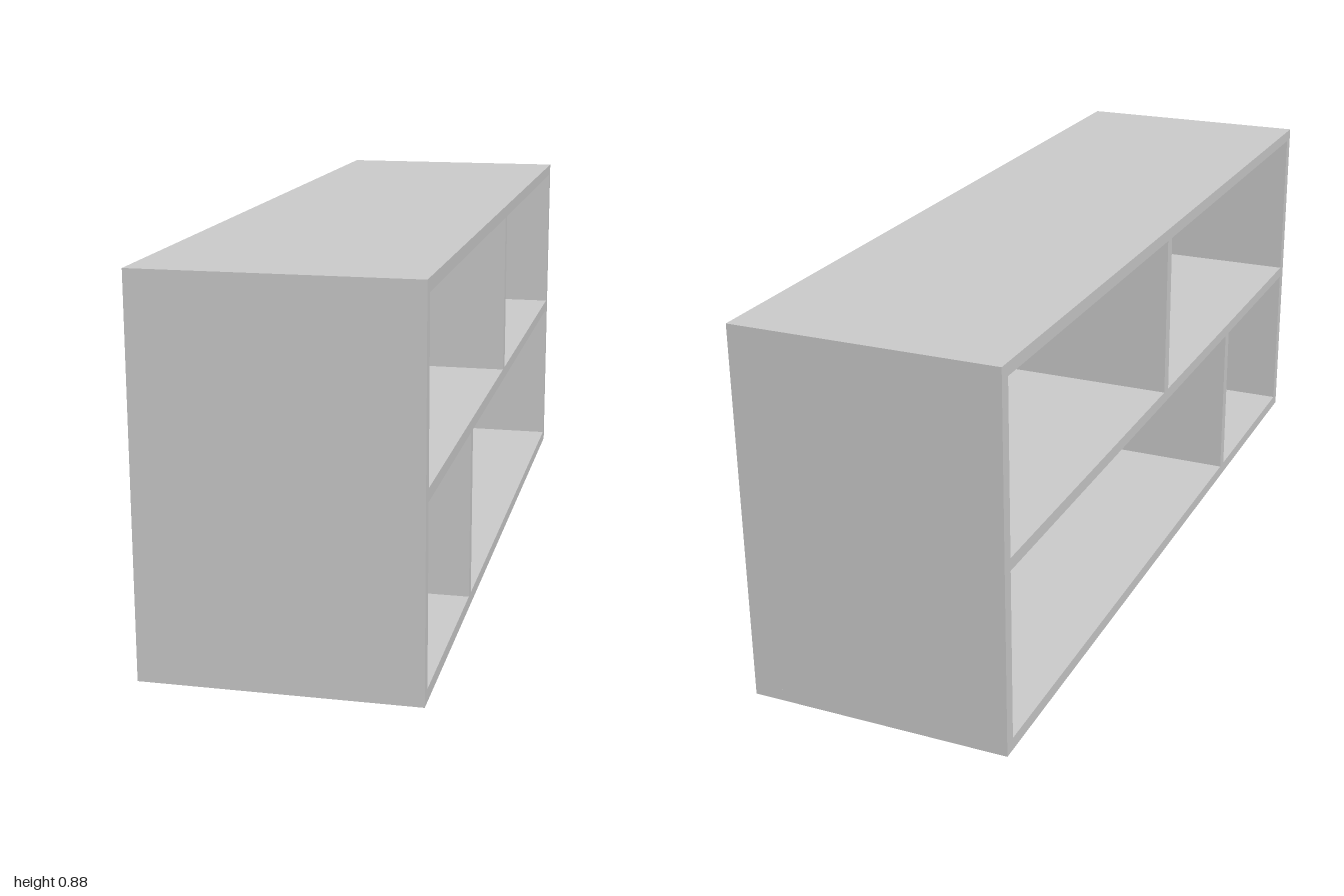
import * as THREE from 'three';

export function createModel() {
  const group = new THREE.Group();
  group.name = 'openShelfUnit';
  const material = new THREE.MeshStandardMaterial({ color: 0xcccccc });
  const depth = 0.6, length = 2, board = 0.028;
  const baseTop = 0.05, topBottom = 0.853, shelfBottom = 0.44;

  // A board spanning the full depth, from y0 to y1 and centred on z
  function addBoard(name, y0, y1, zSize, z = 0) {
    const mesh = new THREE.Mesh(new THREE.BoxGeometry(depth, y1 - y0, zSize), material);
    mesh.name = name;
    mesh.position.set(0, (y0 + y1) / 2, z);
    group.add(mesh);
  }

  // Horizontal boards
  addBoard('basePanel', baseTop - board, baseTop, length);
  addBoard('topPanel', topBottom, topBottom + board, length);
  addBoard('middleShelf', shelfBottom, shelfBottom + board, length - 2 * board);

  // End panels
  const endZ = (length - board) / 2;
  addBoard('frontEndPanel', baseTop, topBottom, board, endZ);
  addBoard('backEndPanel', baseTop, topBottom, board, -endZ);

  // Staggered dividers
  addBoard('lowerDivider', baseTop, shelfBottom, board, 0.447);
  addBoard('upperDivider', shelfBottom + board, topBottom, board, -0.053);

  // Tapered feet
  const footHeight = baseTop - board;
  const footGeometry = new THREE.CylinderGeometry(0.032, 0.026, footHeight, 16);
  for (const x of [-0.24, 0.24]) {
    for (const z of [-0.93, 0.917]) {
      const foot = new THREE.Mesh(footGeometry, material);
      foot.name = 'foot';
      foot.position.set(x, footHeight / 2, z);
      group.add(foot);
    }
  }
  return group;
}
